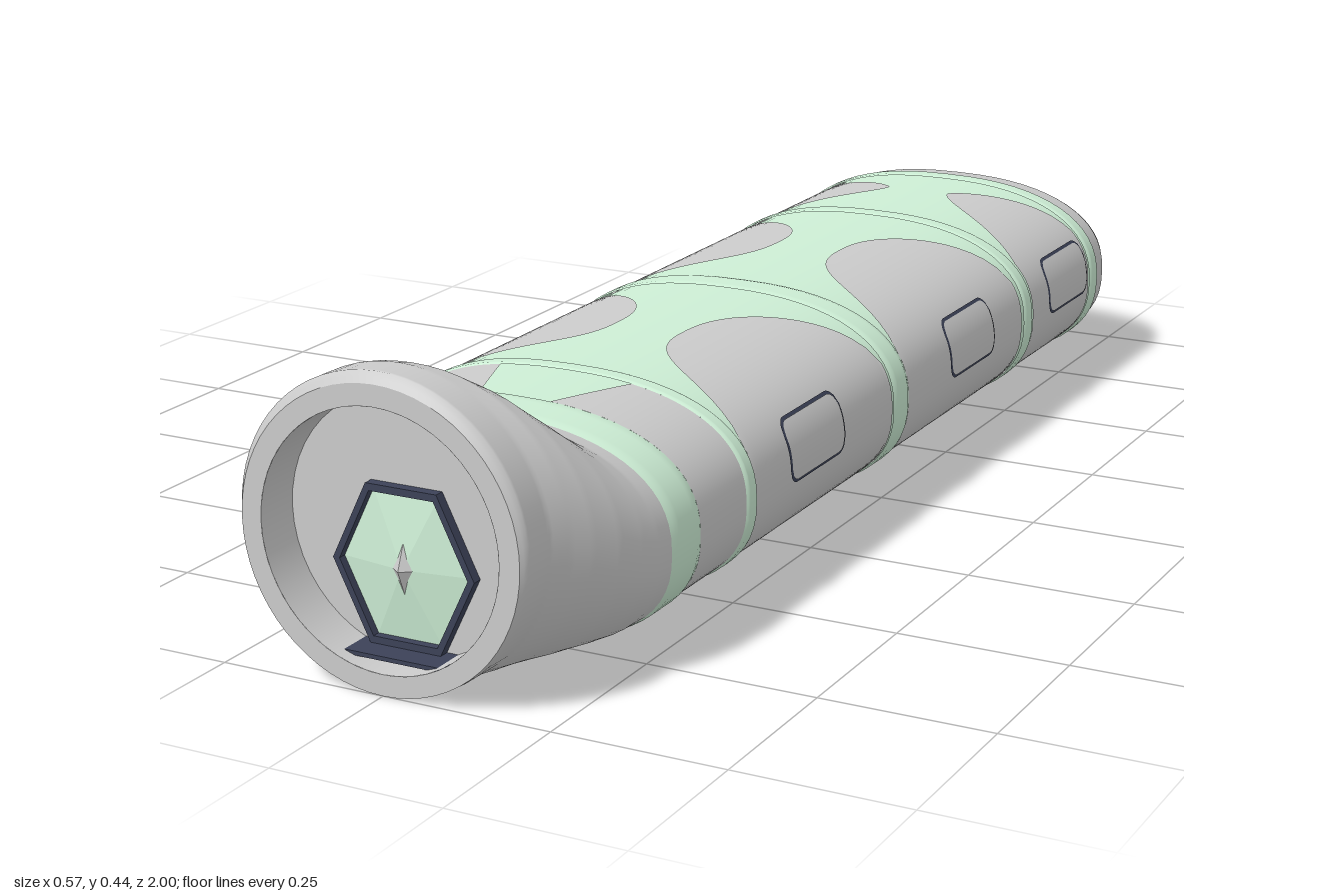
import * as THREE from 'three';
import { mergeVertices } from 'three/addons/utils/BufferGeometryUtils.js';

const paint = (color) => new THREE.MeshStandardMaterial({ color, side: THREE.DoubleSide });
const GREY = paint(0xcccccc), GREEN = paint(0xcdeed5), ORANGE = paint(0xe0702a), DARK = paint(0x3c4258);

// Cross-sections along the handle: z, half width, bottom, top, roundness exponent
const SECTIONS = [
  [-0.982, 0.001, 0.164, 0.166, 2.2], [-0.979, 0.08, 0.122, 0.208, 2.2],
  [-0.973, 0.145, 0.085, 0.238, 2.2], [-0.965, 0.185, 0.065, 0.253, 2.2],
  [-0.955, 0.212, 0.05, 0.266, 2.2], [-0.935, 0.243, 0.033, 0.282, 2.3],
  [-0.91, 0.264, 0.018, 0.296, 2.3], [-0.87, 0.28, 0.006, 0.308, 2.4],
  [-0.83, 0.284, 0.002, 0.312, 2.4], [0.74, 0.284, 0.002, 0.312, 2.4],
  [0.77, 0.282, 0.002, 0.318, 2.4], [0.80, 0.276, 0.002, 0.337, 2.35],
  [0.84, 0.264, 0.001, 0.372, 2.25], [0.88, 0.247, 0.001, 0.407, 2.15],
  [0.91, 0.232, 0, 0.425, 2.1], [0.94, 0.219, 0, 0.433, 2],
  [0.99, 0.217, 0, 0.435, 2], [1.0, 0.21, 0, 0.42, 2],
];

function sectionAt(z) {
  let i = 0;
  while (i < SECTIONS.length - 2 && z > SECTIONS[i + 1][0]) i++;
  const a = SECTIONS[i], b = SECTIONS[i + 1];
  const t = THREE.MathUtils.clamp((z - a[0]) / (b[0] - a[0]), 0, 1);
  const [, w, y0, y1, n] = a.map((v, j) => v + (b[j] - v) * t);
  return { w, h: (y1 - y0) / 2, cy: (y0 + y1) / 2, n };
}

const signedPow = (v, p) => Math.sign(v) * Math.abs(v) ** p;
const angleAtX = (x, s) => Math.acos(Math.min(1, (x / s.w) ** (s.n / 2)));
const angleAtY = (y, s) => Math.asin(signedPow((y - s.cy) / s.h, s.n / 2));

// Piece of the handle's skin between z0 and z1, over an angle range, raised by scale(t)
function skin(name, material, z0, z1, range, scale = () => 1, nz = 32, na = 64) {
  const pos = [], index = [];
  for (let i = 0; i <= nz; i++) {
    const z = z0 + (z1 - z0) * i / nz, s = sectionAt(z), [a, b] = range(z, s), k = scale(i / nz);
    for (let j = 0; j <= na; j++) {
      const q = a + (b - a) * j / na;
      pos.push(k * s.w * signedPow(Math.cos(q), 2 / s.n),
        s.cy + k * s.h * signedPow(Math.sin(q), 2 / s.n), z);
      if (i < nz && j < na) {
        const p = i * (na + 1) + j, r = p + na + 1;
        index.push(p, p + 1, r, p + 1, r + 1, r);
      }
    }
  }
  let g = new THREE.BufferGeometry();
  g.setAttribute('position', new THREE.Float32BufferAttribute(pos, 3));
  g.setIndex(index);
  g = mergeVertices(g, 1e-5);
  g.computeVertexNormals();
  const m = new THREE.Mesh(g, material);
  m.name = name;
  return m;
}

const around = () => [-Math.PI / 2, Math.PI * 1.5];

function hexagon(r, Kind = THREE.Shape) {
  return new Kind([0, 1, 2, 3, 4, 5].map((i) =>
    new THREE.Vector2(r * Math.cos(i * Math.PI / 3), 1.18 * r * Math.sin(i * Math.PI / 3))));
}

export function createModel() {
  const model = new THREE.Group();
  const add = (name, geometry, material, x, y, z) => {
    const m = new THREE.Mesh(geometry, material);
    m.name = name;
    m.position.set(x, y, z);
    model.add(m);
    return m;
  };

  // Grip core, flared socket, rounded end and its plate
  model.add(skin('gripCore', GREEN, -0.83, 0.74, around, () => 0.99, 8));
  model.add(skin('socketShell', GREY, 0.74, 1, around, undefined, 52));
  model.add(skin('endCap', GREY, -0.965, -0.83, around, undefined, 40));
  model.add(skin('endPlate', ORANGE, -0.982, -0.965, around, undefined, 17));

  // Raised green bands between the grip pads
  const raised = (t) => 1 + 0.012 * Math.min(1, 6 * t, 6 * (1 - t));
  for (const [a, b] of [[-0.83, -0.795], [-0.525, -0.49], [-0.02, 0.035], [0.495, 0.525], [0.66, 0.74]])
    model.add(skin('gripBand', GREEN, a, b, around, raised, 12));

  // Side pads: z start, z end, peak z, inner x at peak, inner x at ends, curve power
  const pads = [
    [-0.79, -0.53, -0.695, 0.055, 0.25, 1.5],
    [-0.48, -0.02, -0.26, 0.055, 0.265, 2.6],
    [0.04, 0.495, 0.28, 0.055, 0.265, 2.6],
    [0.525, 0.66, 0.66, 0.055, 0.105, 1],
  ];
  for (const turn of [0, 1]) {
    const side = (lo, hi) => turn ? [Math.PI - hi, Math.PI - lo] : [lo, hi];
    for (const [z0, z1, peak, xPeak, xEnd, power] of pads) {
      const edge = (z, s) => {
        const d = Math.abs((z - peak) / ((z < peak ? z0 : z1) - peak || 1));
        const q = angleAtX(xPeak + (xEnd - xPeak) * d ** power, s);
        return side(-q, q);
      };
      model.add(skin(turn ? 'rightPad' : 'leftPad', GREY, z0, z1, edge, undefined, 48, 48));
    }
    // Rounded buttons with a dark outline
    for (const zc of [-0.69, -0.27, 0.3]) {
      const button = (name, mat, hz, hy, r, k) => {
        const edge = (z, s) => {
          const d = Math.max(0, Math.abs(z - zc) - (hz - r));
          const y = hy - r + Math.sqrt(Math.max(0, r * r - d * d));
          return side(angleAtY(0.19 - y, s), angleAtY(0.19 + y, s));
        };
        model.add(skin(name, mat, zc - hz, zc + hz, edge, () => k, 48, 16));
      };
      button('buttonOutline', DARK, 0.09, 0.046, 0.022, 1.006);
      button('button', GREY, 0.086, 0.042, 0.019, 1.01);
    }
  }

  // Three domed studs on the end plate
  for (const x of [-0.11, 0, 0.11]) {
    const stud = add('endStud', new THREE.SphereGeometry(0.045, 24, 16), GREY, x, 0.165, -0.975);
    stud.scale.z = 0.55;
  }

  // Socket rim, wall, floor and ledge
  const rim = new THREE.Shape().absarc(0, 0, 0.21, 0, Math.PI * 2);
  rim.holes.push(new THREE.Path().absarc(0, 0, 0.18, 0, Math.PI * 2, true));
  add('socketRim', new THREE.ShapeGeometry(rim, 32), GREY, 0, 0.21, 1);
  const wall = new THREE.CylinderGeometry(0.18, 0.18, 0.07, 48, 1, true).rotateX(Math.PI / 2);
  add('socketWall', wall, GREY, 0, 0.21, 0.965);
  add('socketFloor', new THREE.CircleGeometry(0.18, 48), GREY, 0, 0.21, 0.93);
  add('socketLedge', new THREE.BoxGeometry(0.15, 0.006, 0.05), DARK, 0, 0.042, 0.955);

  // Hexagonal lens in a dark frame, with a small faceted core
  const frame = hexagon(0.108);
  frame.holes.push(hexagon(0.098, THREE.Path));
  add('lensFrame', new THREE.ExtrudeGeometry(frame, { depth: 0.02, bevelEnabled: false }), DARK, 0, 0.155, 0.925);
  const lensGeometry = new THREE.ConeGeometry(0.1, 0.015, 6, 1, true).rotateY(Math.PI / 2).rotateX(Math.PI / 2).toNonIndexed();
  lensGeometry.computeVertexNormals();
  add('lens', lensGeometry, GREEN, 0, 0.155, 0.94).scale.y = 1.18;
  const core = add('lensCore', new THREE.OctahedronGeometry(1), GREY, 0, 0.155, 0.942);
  core.scale.set(0.019, 0.036, 0.015);

  return model;
}
